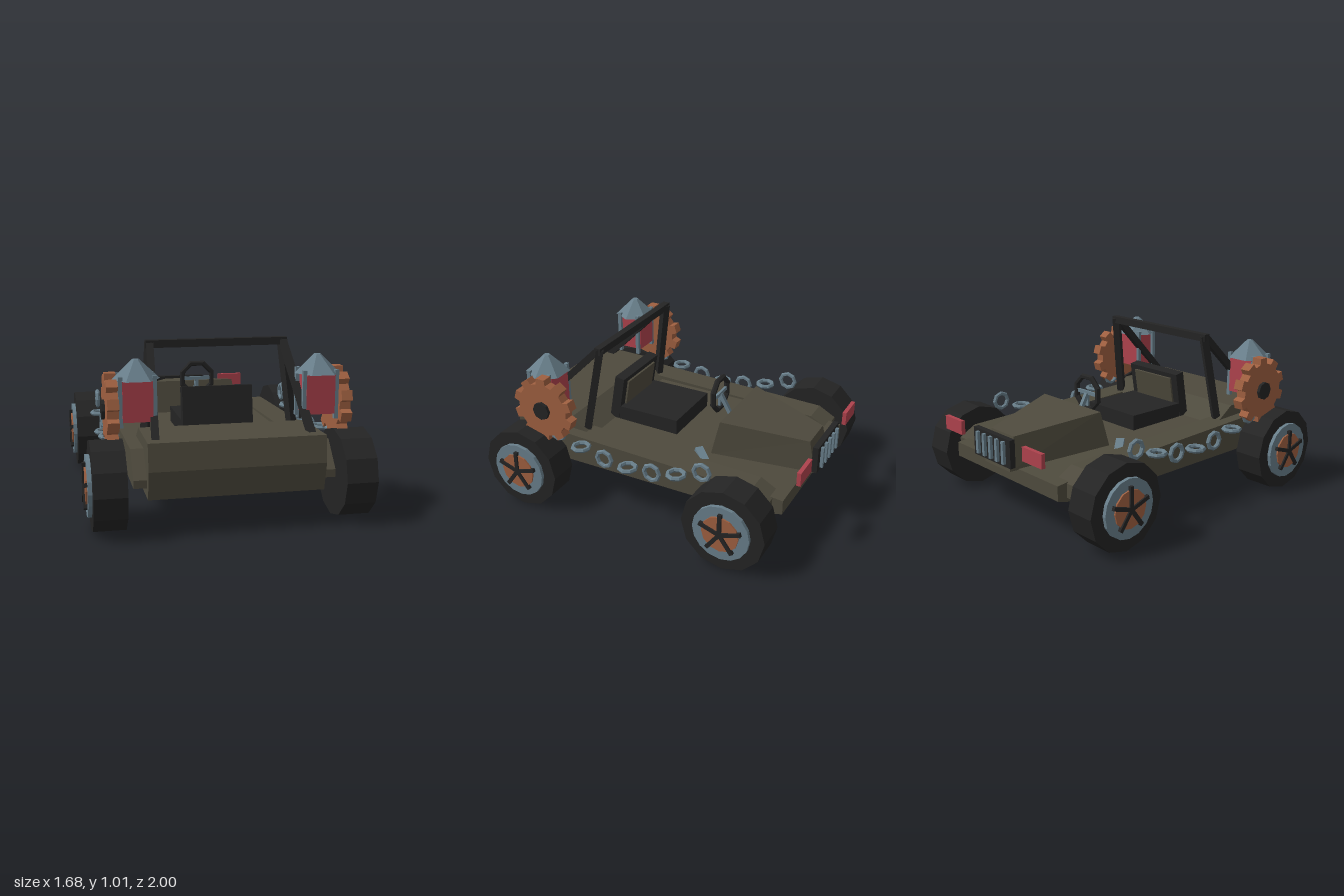
import * as THREE from 'three';

const mat = (name, color) => {
  const m = new THREE.MeshStandardMaterial({ color, flatShading: true });
  m.name = name;
  return m;
};

export function createModel() {
  const olive = mat('olive', 0x4e4a3d), black = mat('black', 0x242424), steel = mat('steel', 0x687e8a);
  const copper = mat('copper', 0x9e5f40), red = mat('red', 0xae424d);
  const model = new THREE.Group();
  const V = (x, y, z) => new THREE.Vector3(x, y, z);

  const add = (name, geo, material, x = 0, y = 0, z = 0, parent = model) => {
    const m = new THREE.Mesh(geo, material);
    m.name = name;
    m.position.set(x, y, z);
    parent.add(m);
    return m;
  };
  const box = (name, w, h, d, material, x, y, z, parent) =>
    add(name, new THREE.BoxGeometry(w, h, d), material, x, y, z, parent);
  // Cylinder lying along x
  const disc = (name, r, width, sides, material, x, y, z, parent) =>
    add(name, new THREE.CylinderGeometry(r, r, width, sides).rotateZ(Math.PI / 2), material, x, y, z, parent);
  // Square bar between two points
  const bar = (name, a, b, t, material) => {
    const m = box(name, t, t, a.distanceTo(b), material, 0, 0, 0);
    m.position.copy(a).add(b).multiplyScalar(0.5);
    m.lookAt(b);
    return m;
  };
  // Side profile of (z, y) points extruded along x, centred on x = 0
  const sideExtrude = (pts, width) => {
    const shape = new THREE.Shape(pts.map(([z, y]) => new THREE.Vector2(z, y)));
    return new THREE.ExtrudeGeometry(shape, { depth: width, bevelEnabled: false })
      .rotateY(-Math.PI / 2).translate(width / 2, 0, 0);
  };

  // Hull with raised rear deck
  add('hull', sideExtrude([
    [0.93, 0.215], [0.965, 0.38], [0.945, 0.535], [0.545, 0.53], [0.4, 0.43],
    [-0.3, 0.42], [-0.895, 0.36], [-0.895, 0.27], [-0.7, 0.215],
  ], 1.0), olive);

  // Tapered hood, moved from a box by corner signs
  const hoodGeo = new THREE.BoxGeometry(2, 2, 2);
  const p = hoodGeo.attributes.position;
  for (let i = 0; i < p.count; i++) {
    const sx = p.getX(i), top = p.getY(i) > 0, nose = p.getZ(i) < 0;
    const w = nose ? (top ? 0.11 : 0.125) : (top ? 0.27 : 0.305);
    const y = nose ? (top ? 0.55 : 0.35) : (top ? 0.625 : 0.41);
    const z = nose ? (top ? -0.9 : -0.945) : (top ? -0.38 : -0.34);
    p.setXYZ(i, sx * w, y, z);
  }
  hoodGeo.computeVertexNormals();
  add('hood', hoodGeo, olive);

  // Grille and lights
  box('grille', 0.36, 0.17, 0.035, black, 0, 0.475, -0.96);
  for (let i = -2; i <= 2; i++) box('grilleBar', 0.022, 0.135, 0.02, steel, i * 0.063, 0.477, -0.986);

  // Seat
  box('seatCushion', 0.43, 0.11, 0.42, black, 0, 0.465, 0.155);
  const back = new THREE.Group();
  back.name = 'seatBack';
  back.position.set(0, 0.575, 0.38);
  back.rotation.x = -0.17;
  model.add(back);
  box('backFrame', 0.43, 0.3, 0.065, black, 0, 0, 0, back);
  box('backPad', 0.33, 0.22, 0.02, olive, 0, 0.01, -0.035, back);

  // Steering wheel and column
  add('steeringWheel', new THREE.TorusGeometry(0.107, 0.018, 6, 8).rotateZ(Math.PI / 8), black, 0, 0.665, -0.25);
  box('steeringSpoke', 0.2, 0.022, 0.015, steel, 0, 0.665, -0.25);
  box('steeringSpokeLower', 0.022, 0.1, 0.015, steel, 0, 0.615, -0.25);
  bar('steeringColumn', V(0, 0.66, -0.255), V(0, 0.46, -0.37), 0.024, steel);

  // Roll bar top
  box('rollBarTop', 0.86, 0.045, 0.045, black, 0, 0.99, 0.37);

  // Gear outline with ten teeth
  const gearPts = [];
  for (let i = 0; i < 10; i++) {
    for (const [da, r] of [[-0.19, 0.172], [-0.14, 0.21], [0.14, 0.21], [0.19, 0.172]]) {
      const a = i * Math.PI / 5 + Math.PI / 2 + da;
      gearPts.push([Math.cos(a) * r, Math.sin(a) * r]);
    }
  }
  const gearGeo = sideExtrude(gearPts, 0.065);

  for (const s of [1, -1]) {
    // Side pods
    add('sidePod', sideExtrude([
      [0.9, 0.275], [0.9, 0.32], [0.77, 0.465], [0.3, 0.45], [-0.72, 0.42], [-0.83, 0.36], [-0.83, 0.275],
    ], 0.165), olive, s * 0.4925);

    // Wheels
    for (const z of [-0.655, 0.74]) {
      const wheel = new THREE.Group();
      wheel.name = 'wheel';
      wheel.position.set(s * 0.705, 0.26, z);
      model.add(wheel);
      disc('tire', 0.26, 0.185, 12, black, 0, 0, 0, wheel);
      disc('rim', 0.177, 0.04, 16, steel, s * 0.095, 0, 0, wheel);
      disc('hubPlate', 0.115, 0.04, 12, copper, s * 0.105, 0, 0, wheel);
      for (let i = 0; i < 5; i++) {
        const spoke = box('spoke', 0.03, 0.135, 0.024, black, 0, 0, 0, wheel);
        const a = i * Math.PI * 0.4;
        spoke.position.set(s * 0.12, Math.cos(a) * 0.0675, Math.sin(a) * 0.0675);
        spoke.rotation.x = a;
      }
    }

    // Front suspension arm
    bar('suspensionArm', V(s * 0.65, 0.25, -0.65), V(s * 0.315, 0.425, -0.26), 0.05, steel);

    // Headlight
    box('headlight', 0.175, 0.085, 0.025, red, s * 0.392, 0.518, -0.972);

    // Roll bar legs and stays
    bar('rollBarLeg', V(s * 0.405, 1.0, 0.365), V(s * 0.455, 0.42, 0.46), 0.045, black);
    bar('rollBarStay', V(s * 0.405, 0.985, 0.385), V(s * 0.445, 0.51, 0.86), 0.042, black);

    // Lantern
    const lantern = new THREE.Group();
    lantern.name = 'lantern';
    lantern.position.set(s * 0.525, 0, 0.675);
    model.add(lantern);
    box('lanternGlass', 0.17, 0.23, 0.17, red, 0, 0.725, 0, lantern);
    for (const x of [-1, 1]) for (const z of [-1, 1])
      box('lanternPost', 0.024, 0.285, 0.024, steel, x * 0.095, 0.7225, z * 0.07, lantern);
    add('lanternRoof', new THREE.CylinderGeometry(0.02, 0.135, 0.11, 6).rotateY(Math.PI / 6 * 3),
      steel, 0, 0.895, 0, lantern);

    // Gear
    add('gear', gearGeo, copper, s * 0.665, 0.66, 0.61);
    disc('gearHub', 0.057, 0.06, 8, black, s * 0.687, 0.66, 0.61);

    // Sagging chain of alternating links
    for (let k = -3; k <= 3; k++) {
      const link = add('chainLink', new THREE.TorusGeometry(0.051, 0.014, 6, 8), steel,
        s * 0.655, 0.395 + 0.115 * (k / 3) ** 2, 0.042 + k * 0.165);
      if (k % 2) link.rotation.y = Math.PI / 2;
      else link.rotation.x = Math.PI / 2;
    }
  }
  return model;
}
